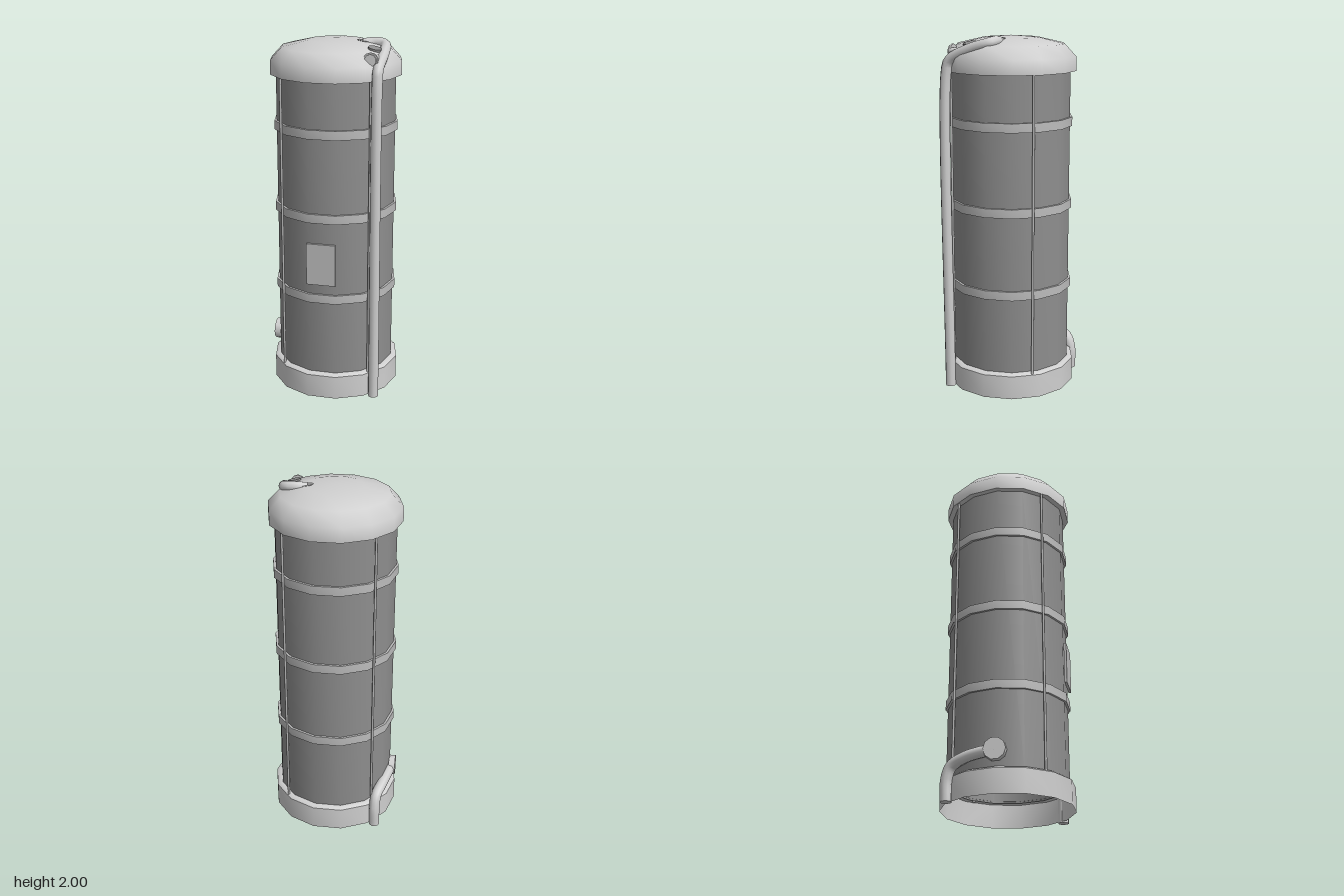
import * as THREE from 'three';
import { toCreasedNormals } from 'three/addons/utils/BufferGeometryUtils.js';

const SIDES = 14;

export function createModel() {
  const root = new THREE.Group();
  root.name = 'storageTank';

  const material = (name, color) => {
    const m = new THREE.MeshStandardMaterial({ color, side: THREE.DoubleSide });
    m.name = name;
    return m;
  };
  const light = material('lightGrey', 0xcfcfcf);
  const mid = material('midGrey', 0xbcbcbc);
  const dark = material('darkGrey', 0x8e8e8e);

  const add = (name, geometry, mat, x = 0, y = 0, z = 0) => {
    const mesh = new THREE.Mesh(geometry, mat);
    mesh.name = name;
    mesh.position.set(x, y, z);
    root.add(mesh);
    return mesh;
  };

  // Fourteen-sided shell with a corner on +x
  const shell = (name, profile, mat, crease = 0.62) => {
    const points = profile.map(([r, y]) => new THREE.Vector2(r, y));
    const geometry = new THREE.LatheGeometry(points, SIDES, Math.PI / 2);
    return add(name, toCreasedNormals(geometry, crease), mat);
  };

  // Bent pipe with closed ends
  const pipe = (name, path, radius, segments, mat) => {
    const curve = new THREE.CatmullRomCurve3(path.map((p) => new THREE.Vector3(...p)));
    add(name, new THREE.TubeGeometry(curve, segments, radius, 10), mat);
    for (const t of [0, 1]) {
      const p = curve.getPointAt(t);
      const cap = add(name + 'End', new THREE.CircleGeometry(radius, 10), mat, p.x, p.y, p.z);
      const dir = curve.getTangentAt(t).multiplyScalar(t ? 1 : -1);
      cap.quaternion.setFromUnitVectors(new THREE.Vector3(0, 0, 1), dir);
    }
  };

  // Open body, hollow base ring and domed lid
  shell('body', [[0.332, 0.14], [0.332, 1.81]], dark);
  shell('base', [[0.363, 0.005], [0.363, 0.138], [0.345, 0.15], [0.33, 0.15]], light);
  shell('dome', [
    [0.33, 1.802], [0.363, 1.802], [0.363, 1.88], [0.3, 1.947], [0.155, 1.981], [0.0001, 1.992],
  ], light, 0.9);

  // Hoops around the body
  for (const y of [0.6, 1.063, 1.526]) {
    shell('hoop', [
      [0.33, y - 0.025], [0.345, y - 0.025], [0.345, y + 0.025], [0.33, y + 0.025],
    ], mid);
  }

  // Tie rods at the four diagonals
  for (const sx of [-1, 1]) {
    for (const sz of [-1, 1]) {
      add('tieRod', new THREE.CylinderGeometry(0.007, 0.007, 1.68, 8), mid,
        sx * 0.245, 0.975, sz * 0.245);
    }
  }

  // Label plate on the front
  add('labelPlate', new THREE.BoxGeometry(0.162, 0.236, 0.014), mid, -0.003, 0.803, 0.337);

  // Tall pipe running up the side and over the dome
  pipe('feedPipe', [
    [0.28, 0, 0.255], [0.28, 1.8, 0.255], [0.28, 1.865, 0.235], [0.285, 1.93, 0.11],
    [0.268, 1.963, 0], [0.22, 1.97, -0.015], [0.15, 1.962, 0],
  ], 0.029, 96, light);

  // Short relief branch with its flange
  const branch = add('reliefBranch', new THREE.CylinderGeometry(0.017, 0.017, 0.17, 10),
    light, 0.262, 1.915, 0.15);
  branch.rotation.x = Math.PI / 2;
  for (const [r, z] of [[0.04, 0.233], [0.032, 0.243]]) {
    const flange = add('reliefFlange', new THREE.CylinderGeometry(r, r, 0.011, 10),
      light, 0.24, 1.912, z);
    flange.rotation.x = Math.PI / 2;
  }

  // Dark collars where pipes meet the dome
  for (const [x, y, z] of [[0.152, 1.975, 0], [0.24, 1.956, 0.13]]) {
    const collar = add('domeCollar', new THREE.CylinderGeometry(0.036, 0.036, 0.012, 12),
      dark, x, y, z);
    collar.quaternion.setFromUnitVectors(new THREE.Vector3(0, 1, 0),
      new THREE.Vector3(x, 1.1, z).normalize());
  }

  // Drain pipe at the back, bending round to a side outlet
  pipe('drainPipe', [
    [-0.268, 0, -0.27], [-0.268, 0.12, -0.27], [-0.274, 0.185, -0.245],
    [-0.3, 0.22, -0.17], [-0.33, 0.238, -0.05], [-0.335, 0.24, 0],
  ], 0.031, 30, light);
  const outlet = add('drainOutlet', new THREE.CylinderGeometry(0.06, 0.06, 0.037, 10),
    light, -0.346, 0.24, 0);
  outlet.rotation.z = Math.PI / 2;

  return root;
}
